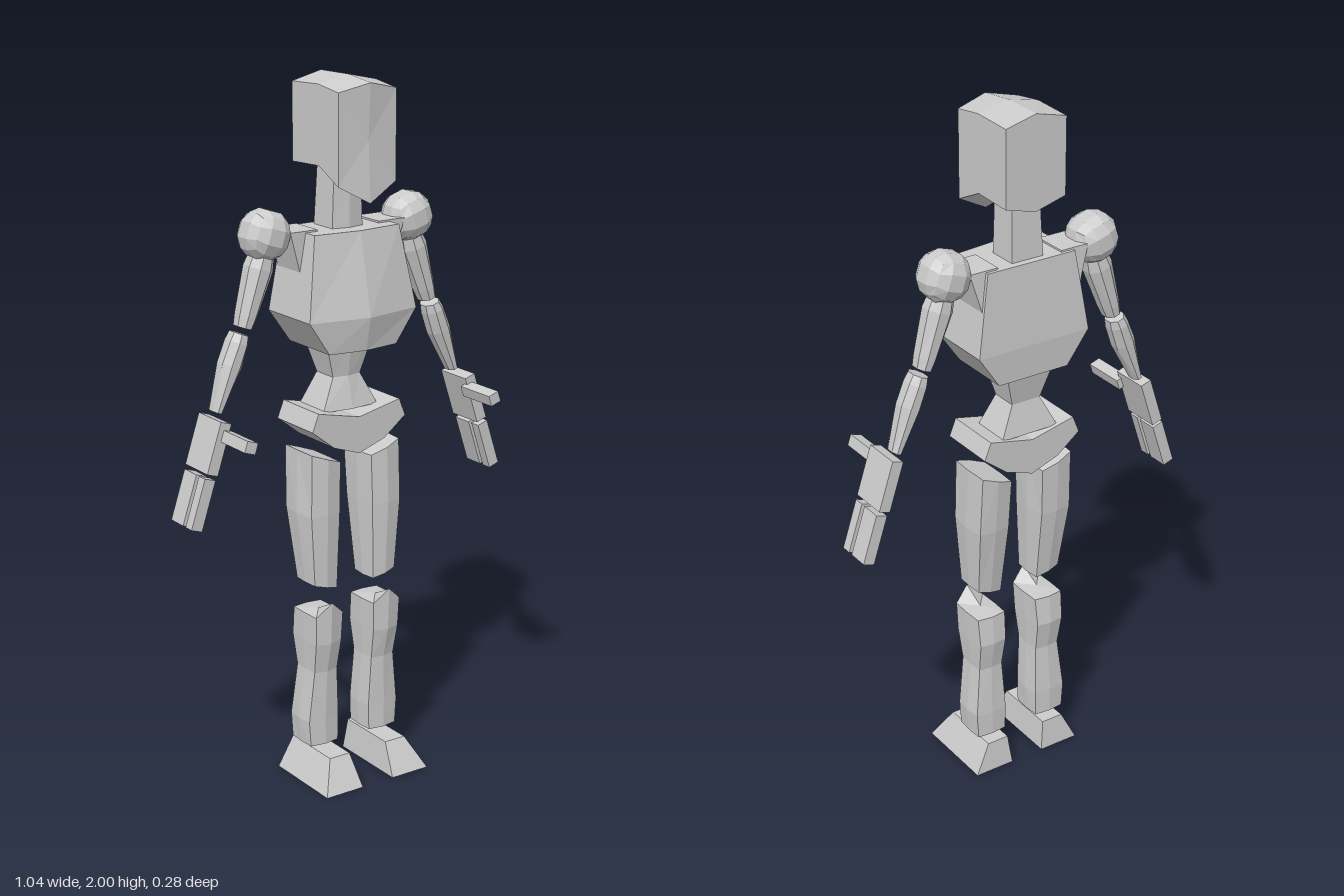
import * as THREE from 'three';

const material = new THREE.MeshStandardMaterial({ color: 0xcccccc, flatShading: true });

// Closed solid through rings of [x, y, z] points, counter-clockwise about the loft axis
function loft(rings) {
  const pos = [];
  const tri = (a, b, c) => pos.push(...a, ...b, ...c);
  const n = rings[0].length;
  for (let i = 0; i < rings.length - 1; i++) {
    for (let j = 0; j < n; j++) {
      const k = (j + 1) % n;
      const [a, b, c, d] = [rings[i][j], rings[i][k], rings[i + 1][k], rings[i + 1][j]];
      tri(a, b, c);
      tri(a, c, d);
    }
  }
  const first = rings[0], last = rings[rings.length - 1];
  const middle = (r) => [0, 1, 2].map((q) => r.reduce((s, p) => s + p[q], 0) / n);
  const m0 = middle(first), m1 = middle(last);
  for (let j = 0; j < n; j++) {
    const k = (j + 1) % n;
    tri(first[k], first[j], m0);
    tri(last[j], last[k], m1);
  }
  const geo = new THREE.BufferGeometry();
  geo.setAttribute('position', new THREE.Float32BufferAttribute(pos, 3));
  geo.computeVertexNormals();
  return geo;
}

// Horizontal box section whose front, back and sides bow outwards at their middles
function section(y, x0, x1, z0, z1, front = 0, side = 0, back = 0) {
  const xm = (x0 + x1) / 2, zm = (z0 + z1) / 2;
  return [
    [x1, y, z1], [x1 + side, y, zm], [x1, y, z0], [xm, y, z0 - back],
    [x0, y, z0], [x0 - side, y, zm], [x0, y, z1], [xm, y, z1 + front],
  ];
}

// Many-sided limb along y from [y, radius x, radius z] stations
function limb(stations, sides = 8) {
  return loft(stations.map(([y, rx, rz]) => Array.from({ length: sides }, (_, j) => {
    const a = ((j + 0.5) / sides) * Math.PI * 2;
    return [Math.cos(a) * rx, y, -Math.sin(a) * rz];
  })));
}

// Mirror across x, swapping corners so faces stay outward
function mirrored(source) {
  const geo = source.index ? source.toNonIndexed() : source.clone();
  const p = geo.attributes.position;
  for (let i = 0; i < p.count; i += 3) {
    const v = [0, 2, 1].map((k) => [-p.getX(i + k), p.getY(i + k), p.getZ(i + k)]);
    v.forEach((q, k) => p.setXYZ(i + k, ...q));
  }
  geo.computeVertexNormals();
  return geo;
}

export function createModel() {
  const model = new THREE.Group();
  model.name = 'figure';
  const add = (name, geo) => {
    const mesh = new THREE.Mesh(geo, material);
    mesh.name = name;
    model.add(mesh);
  };
  const pair = (name, geo) => {
    add('left' + name, geo);
    add('right' + name, mirrored(geo));
  };

  // Head: sections from back to front, ridged along the centre line
  const headRing = (zSide, zMid, low, lowMid, top, topMid) => [
    [-0.093, low, zSide], [0, lowMid, zMid], [0.093, low, zSide],
    [0.093, top, zSide], [0, topMid, zMid], [-0.093, top, zSide],
  ];
  add('head', loft([
    headRing(-0.14, -0.14, 1.76, 1.735, 1.975, 1.998),
    headRing(-0.015, -0.015, 1.765, 1.745, 1.98, 2.0),
    headRing(0.078, 0.092, 1.72, 1.67, 1.967, 1.988),
  ]));
  add('neck', loft([
    section(1.57, -0.05, 0.05, -0.105, -0.015, 0.01),
    section(1.77, -0.043, 0.043, -0.095, -0.015, 0.008),
  ]));

  // Trunk
  add('chest', loft([
    section(1.265, -0.11, 0.11, -0.135, 0.06, 0.015),
    section(1.36, -0.175, 0.175, -0.14, 0.063, 0.032),
    section(1.59, -0.138, 0.138, -0.125, 0.032, 0.015),
  ]));
  add('waist', loft([
    section(1.085, -0.09, 0.09, -0.12, 0.0, 0.01),
    section(1.175, -0.045, 0.045, -0.1, -0.02, 0.008),
    section(1.275, -0.075, 0.075, -0.12, -0.005, 0.01),
  ]));
  const hip = new THREE.Shape([
    [0, 0.965], [0.085, 0.995], [0.155, 1.05], [0.135, 1.1], [0, 1.07],
    [-0.135, 1.1], [-0.155, 1.05], [-0.085, 0.995],
  ].map(([x, y]) => new THREE.Vector2(x, y)));
  add('pelvis', new THREE.ExtrudeGeometry(hip, { depth: 0.175, bevelEnabled: false })
    .translate(0, 0, -0.132));

  // Shoulders: block beside the chest and a faceted ball
  pair('ShoulderBlock', loft([
    section(1.46, 0.1, 0.148, -0.125, -0.015),
    section(1.595, 0.1, 0.187, -0.115, -0.01),
  ]));
  const ball = new THREE.BoxGeometry(1, 1, 1, 3, 3, 3);
  const p = ball.attributes.position;
  const v = new THREE.Vector3();
  for (let i = 0; i < p.count; i++) {
    v.fromBufferAttribute(p, i).setLength(0.073);
    p.setXYZ(i, v.x, v.y, v.z);
  }
  pair('Shoulder', ball.rotateZ(0.32).translate(0.235, 1.588, -0.065));

  // Arms
  pair('UpperArm', limb([
    [-0.102, 0.025, 0.032], [-0.07, 0.03, 0.036], [0.06, 0.042, 0.042], [0.105, 0.034, 0.036],
  ]).rotateZ(0.32).translate(0.274, 1.442, -0.065));
  pair('Forearm', limb([
    [-0.11, 0.015, 0.027], [0.02, 0.034, 0.037], [0.085, 0.031, 0.039], [0.11, 0.026, 0.034],
  ]).rotateZ(0.37).translate(0.357, 1.228, -0.065));

  // Hands: palm, thumb and two finger blocks
  const slab = (x, y, z, w, h, d) =>
    new THREE.BoxGeometry(w, h, d).rotateZ(0.32).translate(x, y, z);
  pair('Palm', slab(0.431, 1.045, -0.046, 0.034, 0.145, 0.114));
  pair('Thumb', slab(0.405, 1.075, 0.065, 0.034, 0.032, 0.13));
  pair('Fingers', slab(0.482, 0.897, -0.067, 0.034, 0.143, 0.062));
  pair('Forefinger', slab(0.482, 0.897, -0.007, 0.034, 0.143, 0.031));

  // Legs: slanted ends come from lowering points toward one side
  const slant = (ring, slope) => ring.map(([x, y, z]) => [x, y + (x - 0.1) * slope, z]);
  pair('Thigh', loft([
    slant(section(0.585, 0.062, 0.136, -0.068, 0.022, 0.008, 0.004, 0.006), 0.25),
    section(0.8, 0.056, 0.15, -0.1, 0.028, 0.01, 0.008, 0.006),
    slant(section(0.962, 0.052, 0.146, -0.108, 0.026, 0.01, 0.004, 0.008), 0.36),
  ]));
  const knee = section(0.505, 0.053, 0.143, -0.075, 0.038, 0.014, 0.002, 0.006);
  knee[7][1] = 0.545;
  pair('Shin', loft([
    section(0.105, 0.055, 0.147, -0.08, 0.014, 0.008, 0.003, 0.005),
    section(0.18, 0.053, 0.152, -0.08, 0.014, 0.008, 0.005, 0.005),
    section(0.33, 0.06, 0.136, -0.07, 0.018, 0.008, 0.003, 0.005),
    section(0.42, 0.056, 0.141, -0.085, 0.034, 0.012, 0.003, 0.006),
    knee,
  ]));
  pair('Foot', loft([
    section(0, 0.052, 0.175, -0.115, 0.137),
    section(0.09, 0.063, 0.13, -0.105, 0.085),
  ]));
  return model;
}
